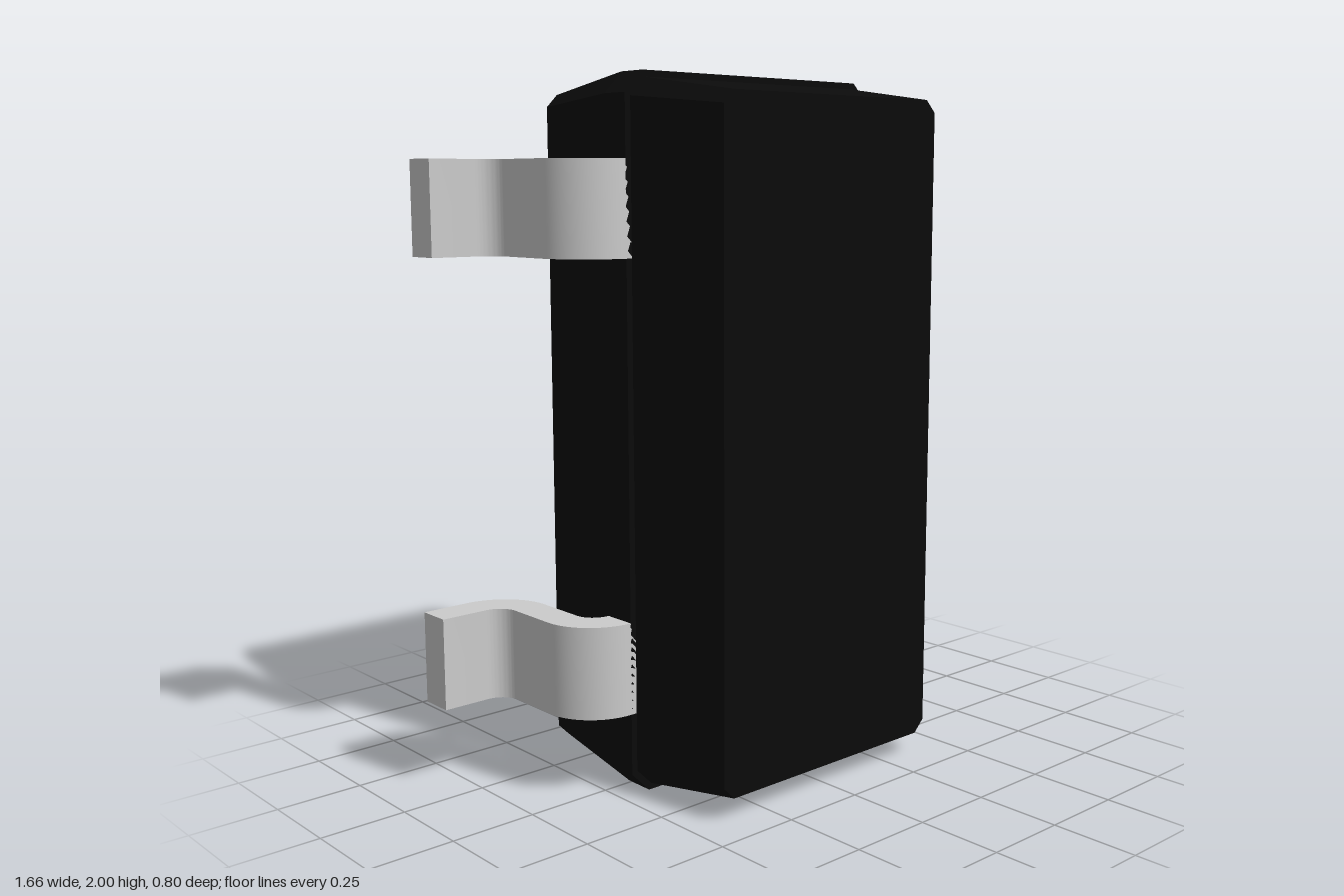
import * as THREE from 'three';
import { toCreasedNormals } from 'three/addons/utils/BufferGeometryUtils.js';

// Chamfered rectangle, counter-clockwise seen from the front
function section([z, w, h, c]) {
  return [
    [w, -h + c], [w, h - c], [w - c, h], [-w + c, h],
    [-w, h - c], [-w, -h + c], [-w + c, -h], [w - c, -h],
  ].map(([x, y]) => [x, y + 1, z]);
}

// Closed solid lofted through sections running from front to back
function loft(rings) {
  const pos = [];
  const n = rings[0].length;
  const tri = (a, b, c) => pos.push(...a, ...b, ...c);
  for (let r = 0; r < rings.length - 1; r++) {
    for (let i = 0; i < n; i++) {
      const j = (i + 1) % n;
      const a = rings[r][i], b = rings[r][j], c = rings[r + 1][i], d = rings[r + 1][j];
      tri(a, c, d);
      tri(a, d, b);
    }
  }
  const first = rings[0], last = rings[rings.length - 1];
  for (let i = 1; i < n - 1; i++) {
    tri(first[0], first[i], first[i + 1]);
    tri(last[0], last[i + 1], last[i]);
  }
  const geo = new THREE.BufferGeometry();
  geo.setAttribute('position', new THREE.Float32BufferAttribute(pos, 3));
  geo.computeVertexNormals();
  return geo;
}

// S-bent strip, drawn in x and -z, extruded along y; side is +1 or -1
function leadGeometry(side, height) {
  const s = new THREE.Shape();
  const q = Math.PI / 2;
  s.moveTo(0.42, -0.08);
  s.lineTo(0.47, -0.08);
  s.absarc(0.47, 0.08, 0.16, -q, 0, false);
  s.lineTo(0.63, 0.24);
  s.absarc(0.69, 0.24, 0.06, Math.PI, q, true);
  s.lineTo(0.83, 0.3);
  s.lineTo(0.83, 0.4);
  s.lineTo(0.69, 0.4);
  s.absarc(0.69, 0.24, 0.16, q, Math.PI, false);
  s.lineTo(0.53, 0.08);
  s.absarc(0.47, 0.08, 0.06, 0, -q, true);
  s.lineTo(0.42, 0.02);
  const pts = s.getPoints(10).map((p) => new THREE.Vector2(p.x * side, p.y));
  const geo = new THREE.ExtrudeGeometry(new THREE.Shape(pts), { depth: height, bevelEnabled: false });
  geo.rotateX(-Math.PI / 2);
  return toCreasedNormals(geo, 0.5);
}

export function createModel() {
  const group = new THREE.Group();
  const black = new THREE.MeshStandardMaterial({ color: 0x0b0b0b, flatShading: true });
  const grey = new THREE.MeshStandardMaterial({ color: 0xcccccc });

  // Moulded body: [z, half width, half height, corner chamfer]
  const rings = [
    [0.4, 0.403, 0.937, 0.035],
    [0.08, 0.447, 0.982, 0.05],
    [0.08, 0.465, 1, 0.06],
    [-0.01, 0.465, 1, 0.06],
    [-0.335, 0.42, 0.953, 0.035],
  ].map(section);
  const body = new THREE.Mesh(loft(rings), black);
  body.name = 'body';
  group.add(body);

  // Three bent leads: one on the left, two on the right
  const leads = [
    ['leftLead', 1, 0.872],
    ['upperRightLead', -1, 1.505],
    ['lowerRightLead', -1, 0.237],
  ];
  for (const [name, side, y] of leads) {
    const lead = new THREE.Mesh(leadGeometry(side, 0.264), grey);
    lead.name = name;
    lead.position.y = y;
    group.add(lead);
  }
  return group;
}
